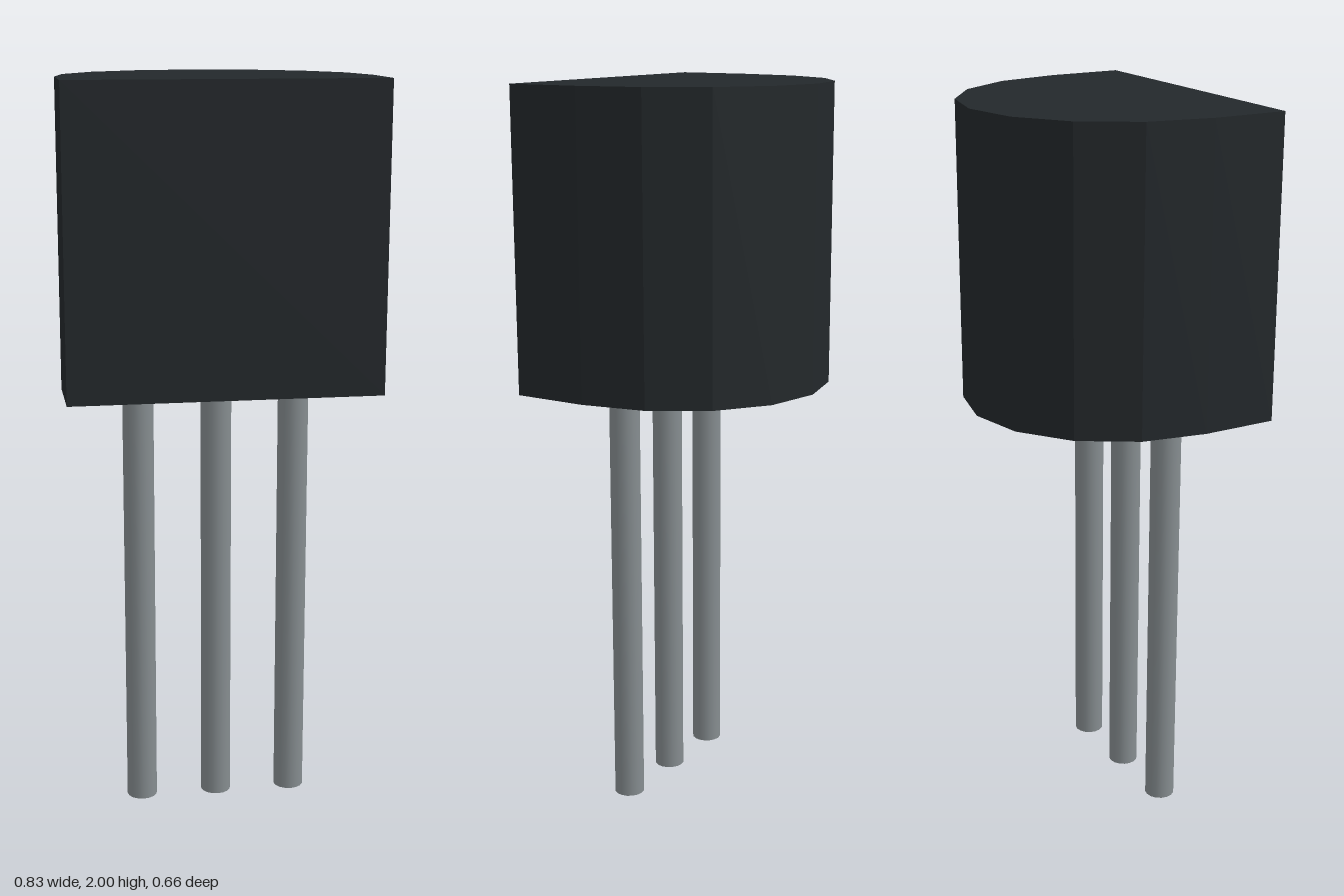
import * as THREE from 'three';

const BODY_BOTTOM = 1.19, TOP = 2;

export function createModel() {
  const group = new THREE.Group();
  group.name = 'transistor';
  const plastic = new THREE.MeshStandardMaterial({ color: 0x23282b, flatShading: true });
  const metal = new THREE.MeshStandardMaterial({ color: 0x868d90 });

  // D-shaped body: flat front, faceted half-ellipse back (shape y is -z)
  const outline = [new THREE.Vector2(-0.415, -0.33), new THREE.Vector2(0.415, -0.33)];
  for (let i = 0; i <= 8; i++) {
    const a = (i / 8) * Math.PI;
    outline.push(new THREE.Vector2(0.415 * Math.cos(a), -0.125 + 0.458 * Math.sin(a)));
  }
  const bodyGeometry = new THREE.ExtrudeGeometry(new THREE.Shape(outline), {
    depth: TOP - BODY_BOTTOM, bevelEnabled: false,
  });
  bodyGeometry.rotateX(-Math.PI / 2);
  const body = new THREE.Mesh(bodyGeometry, plastic);
  body.name = 'body';
  body.position.y = BODY_BOTTOM;
  group.add(body);

  // Three round leads
  const leadGeometry = new THREE.CylinderGeometry(0.042, 0.042, BODY_BOTTOM, 16);
  ['rightLead', 'middleLead', 'leftLead'].forEach((name, i) => {
    const lead = new THREE.Mesh(leadGeometry, metal);
    lead.name = name;
    lead.position.set((i - 1) * 0.212, BODY_BOTTOM / 2, 0.13);
    group.add(lead);
  });
  return group;
}
